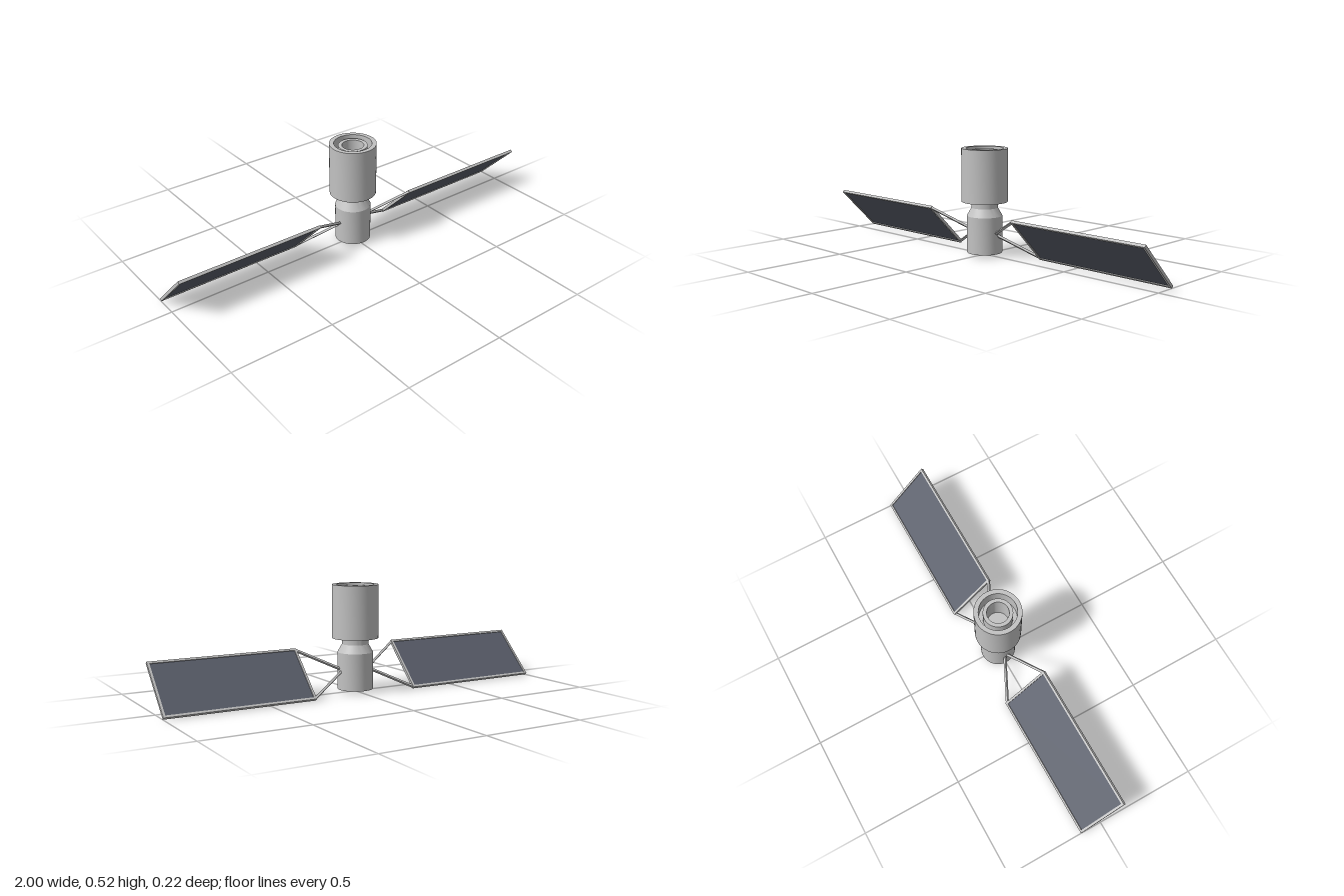
import * as THREE from 'three';
import { toCreasedNormals } from 'three/addons/utils/BufferGeometryUtils.js';

const shell = new THREE.MeshStandardMaterial({ name: 'light grey shell', color: 0xc2c2c2 });
const cells = new THREE.MeshStandardMaterial({ name: 'slate solar cells', color: 0x5a5e6a });

// Turned part from [radius, height] pairs, listed from the bottom outwards and up
function turned(name, profile) {
  const points = profile.map(([r, y]) => new THREE.Vector2(r, y));
  const mesh = new THREE.Mesh(toCreasedNormals(new THREE.LatheGeometry(points, 40), 0.5), shell);
  mesh.name = name;
  return mesh;
}

function box(name, size, position, material) {
  const mesh = new THREE.Mesh(new THREE.BoxGeometry(...size), material);
  mesh.name = name;
  mesh.position.set(...position);
  return mesh;
}

// Solar wing lying flat in xz; side is +1 or -1
function wing(side) {
  const group = new THREE.Group();
  group.name = side > 0 ? 'leftWing' : 'rightWing';
  const x0 = 0.27, x1 = 1, half = 0.147, bar = 0.011, thick = 0.014;
  const mid = side * (x0 + x1) / 2, length = x1 - x0;

  group.add(box('solarPanel', [length - bar, 0.006, 2 * half - bar], [mid, 0, 0], cells));
  for (const x of [x0 + bar / 2, x1 - bar / 2]) {
    group.add(box('frameEnd', [bar, thick, 2 * (half - bar)], [side * x, 0, 0], shell));
  }
  for (const s of [-1, 1]) {
    group.add(box('frameRail', [length, thick, bar], [mid, 0, s * (half - bar / 2)], shell));

    // Strut from the body to the panel corner
    const a = new THREE.Vector3(side * 0.075, 0, s * 0.004);
    const b = new THREE.Vector3(side * 0.275, 0, s * (half - 0.006));
    const strut = box('strut', [a.distanceTo(b), 0.011, 0.011], [0, 0, 0], shell);
    strut.position.lerpVectors(a, b, 0.5);
    strut.rotation.y = -Math.atan2(b.z - a.z, b.x - a.x);
    group.add(strut);
  }
  return group;
}

export function createModel() {
  const model = new THREE.Group();
  model.name = 'satellite';

  // Lower body with a recessed base and a tapered shoulder
  model.add(turned('lowerBody', [
    [0, 0.03], [0.055, 0.03], [0.055, 0.013], [0.086, 0.013], [0.086, 0.193],
    [0.064, 0.232], [0.064, 0.33], [0, 0.33],
  ]));

  // Barrel, hollow at both ends
  model.add(turned('barrel', [
    [0.06, 0.3], [0.095, 0.3], [0.095, 0.262], [0.112, 0.262], [0.112, 0.52],
    [0.09, 0.52], [0.09, 0.44], [0.06, 0.44],
  ]));

  // Inner tube set in the mouth of the barrel
  model.add(turned('innerTube', [
    [0.07, 0.43], [0.07, 0.51], [0.052, 0.51], [0.052, 0.38], [0, 0.38],
  ]));

  // Both wings tilted together about the x axis
  const wings = new THREE.Group();
  wings.name = 'solarWings';
  wings.add(wing(1), wing(-1));
  wings.position.y = 0.109;
  wings.rotation.x = -Math.PI / 4;
  model.add(wings);

  return model;
}
